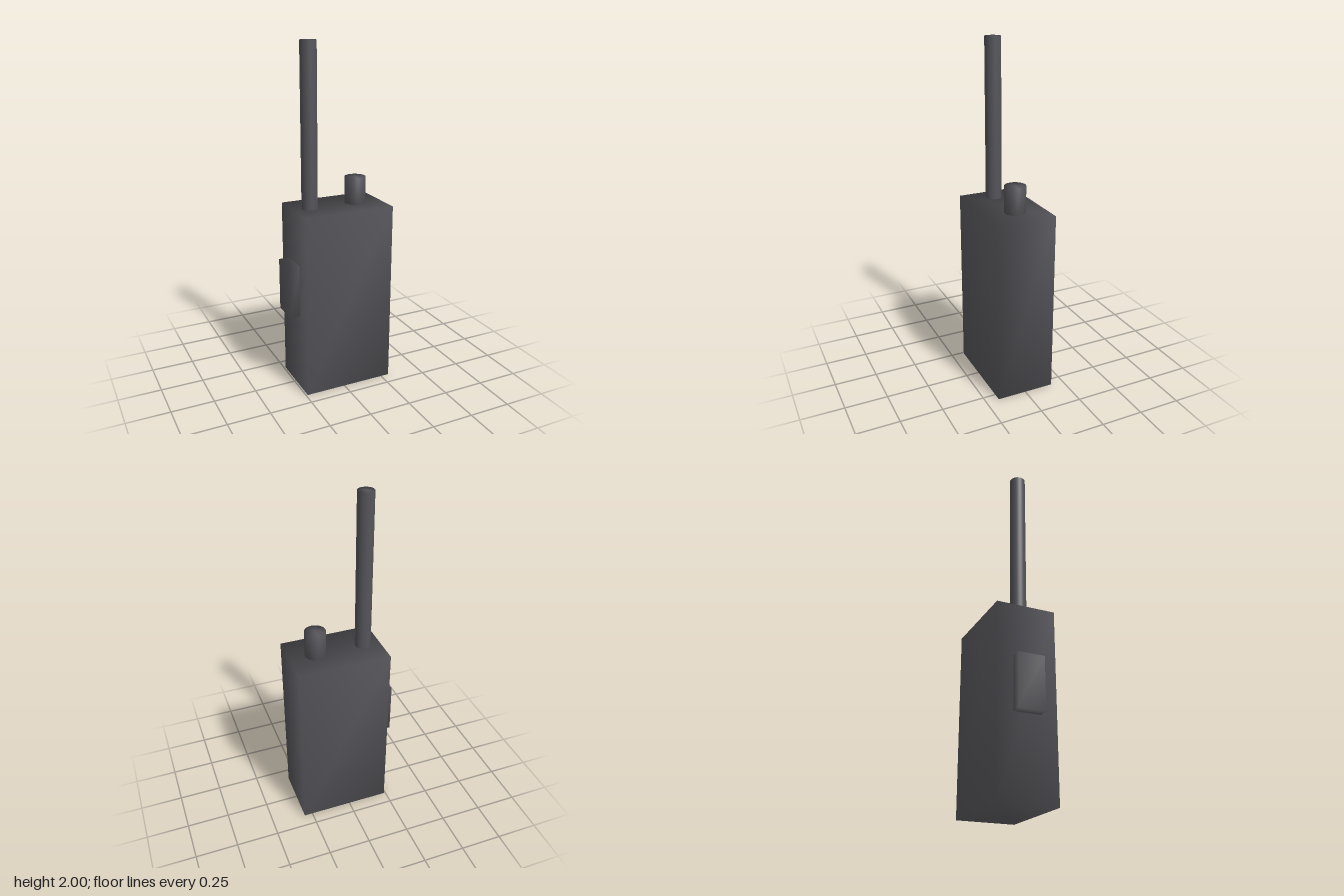
import * as THREE from 'three';
import { mergeVertices } from 'three/addons/utils/BufferGeometryUtils.js';

const material = new THREE.MeshStandardMaterial({ color: 0x55555a });

// Weld corners so the shading runs smoothly over every edge
function smooth(geometry) {
  geometry.deleteAttribute('normal');
  geometry.deleteAttribute('uv');
  const welded = mergeVertices(geometry, 1e-4);
  welded.computeVertexNormals();
  return welded;
}

export function createModel() {
  const group = new THREE.Group();

  const add = (name, geometry, x, y, z = 0) => {
    const mesh = new THREE.Mesh(smooth(geometry), material);
    mesh.name = name;
    mesh.position.set(x, y, z);
    group.add(mesh);
  };

  // Handset case
  add('body', new THREE.BoxGeometry(0.54, 1.08, 0.346), 0.03, 0.54);

  // Aerial and volume knob on the top face
  add('antenna', new THREE.CylinderGeometry(0.046, 0.046, 0.92, 32), -0.14, 1.54);
  add('knob', new THREE.CylinderGeometry(0.061, 0.061, 0.154, 32), 0.146, 1.157);

  // Talk button on the side
  add('talkButton', new THREE.BoxGeometry(0.062, 0.308, 0.154), -0.271, 0.62);

  return group;
}
